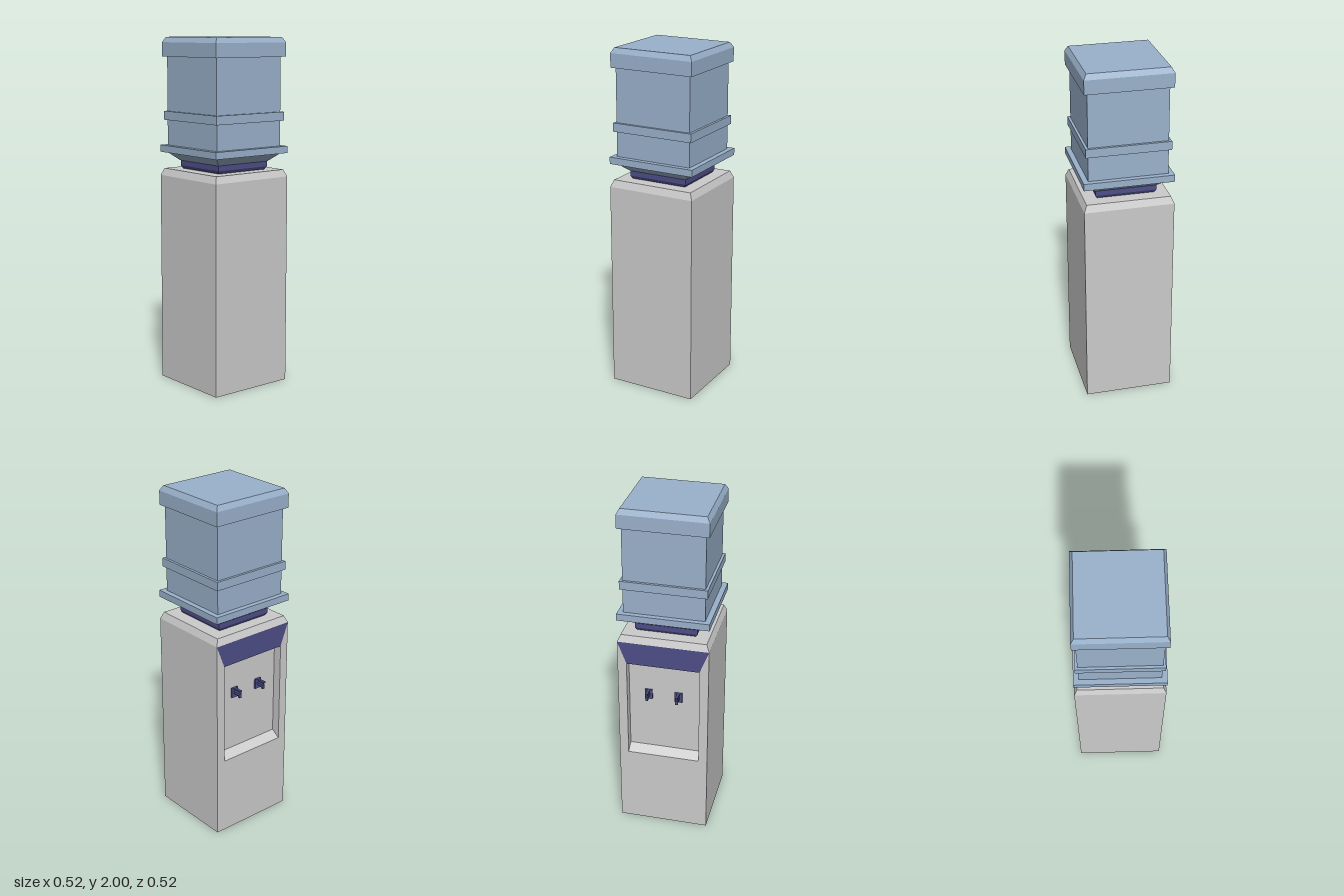
import * as THREE from 'three';

const grey = new THREE.MeshStandardMaterial({ color: 0xcccccc, flatShading: true });
const blue = new THREE.MeshStandardMaterial({ color: 0x9ab2cc, flatShading: true });
const navy = new THREE.MeshStandardMaterial({ color: 0x4e4e88, flatShading: true });

const HALF = 0.262, DEPTH_RATIO = 0.976, Z0 = 0.0045;
const BACK = Z0 - HALF * DEPTH_RATIO;

function add(parent, name, geometry, material) {
  const mesh = new THREE.Mesh(geometry, material);
  mesh.name = name;
  parent.add(mesh);
  return mesh;
}

// Flat-shaded geometry from four-cornered faces
function quads(list) {
  const pos = list.flatMap(([a, b, c, d]) => [a, b, c, a, c, d]).flat();
  const g = new THREE.BufferGeometry();
  g.setAttribute('position', new THREE.Float32BufferAttribute(pos, 3));
  g.computeVertexNormals();
  return g;
}

// Rectangular tower from a profile of [half width, height]; the back of the first band may stay open
function tower(profile, openBack = false) {
  const rings = profile.map(([h, y]) => [[1, 1], [1, -1], [-1, -1], [-1, 1]]
    .map(([sx, sz]) => [sx * h, y, Z0 + sz * h * DEPTH_RATIO]));
  const faces = [[...rings[0]].reverse(), rings[rings.length - 1]];
  for (let i = 0; i < rings.length - 1; i++) {
    for (let k = 0; k < 4; k++) {
      if (openBack && i === 0 && k === 1) continue;
      const n = (k + 1) % 4;
      faces.push([rings[i][k], rings[i][n], rings[i + 1][n], rings[i + 1][k]]);
    }
  }
  return quads(faces);
}

function createCabinet() {
  const cabinet = new THREE.Group();
  cabinet.name = 'cabinet';
  const shoulder = 1.21, w = 0.21, top = 1.075, bottom = 0.47;
  add(cabinet, 'cabinetShell', tower([[HALF, 0], [HALF, shoulder], [0.245, 1.25]], true), grey);

  // Dispensing face, notched for the recess and the coloured panel
  const outline = [[-HALF, 0], [HALF, 0], [HALF, shoulder], [w, top], [w, bottom],
    [-w, bottom], [-w, top], [-HALF, shoulder]];
  const face = new THREE.ShapeGeometry(new THREE.Shape(outline.map(p => new THREE.Vector2(...p))));
  face.rotateY(Math.PI).translate(0, 0, BACK);
  add(cabinet, 'dispensingFace', face, grey);
  add(cabinet, 'headerPanel', quads([[[HALF, shoulder, BACK], [w, top, BACK],
    [-w, top, BACK], [-HALF, shoulder, BACK]]]), navy);

  // Recess with a sloping sill
  const loop = (t, b, z) => [[w, t, z], [-w, t, z], [-w, b, z], [w, b, z]];
  const outer = loop(top, bottom, BACK), inner = loop(top, bottom + 0.035, BACK + 0.052);
  const walls = outer.map((p, k) => {
    const n = (k + 1) % 4;
    return [outer[n], p, inner[k], inner[n]];
  });
  add(cabinet, 'recess', quads([...walls, [...inner].reverse()]), grey);
  return cabinet;
}

function createTap(x) {
  const tap = new THREE.Group();
  tap.name = 'tap';
  const box = (name, w, h, d, y, z) =>
    add(tap, name, new THREE.BoxGeometry(w, h, d), navy).position.set(0, y, z);
  box('tapPlate', 0.044, 0.06, 0.01, 0.862, -0.204);
  box('tapLever', 0.014, 0.01, 0.056, 0.887, -0.234);
  box('tapSpout', 0.016, 0.016, 0.05, 0.864, -0.229);
  box('tapNozzle', 0.014, 0.024, 0.014, 0.857, -0.25);
  tap.position.x = x;
  return tap;
}

export function createModel() {
  const model = new THREE.Group();
  model.name = 'waterDispenser';
  model.add(createCabinet(), createTap(0.095), createTap(-0.08));

  // Collar holding the bottle
  add(model, 'collar', tower([[0.165, 1.245], [0.178, 1.267], [0.178, 1.297]]), navy);

  // Bottle: sloped neck, two raised bands and a bevelled cap
  add(model, 'bottle', tower([
    [0.18, 1.297], [0.235, 1.345], [0.262, 1.345], [0.262, 1.385], [0.231, 1.385],
    [0.231, 1.53], [0.246, 1.53], [0.246, 1.58], [0.231, 1.58],
    [0.231, 1.89], [0.252, 1.89], [0.252, 1.97], [0.235, 2.0],
  ]), blue);
  return model;
}
